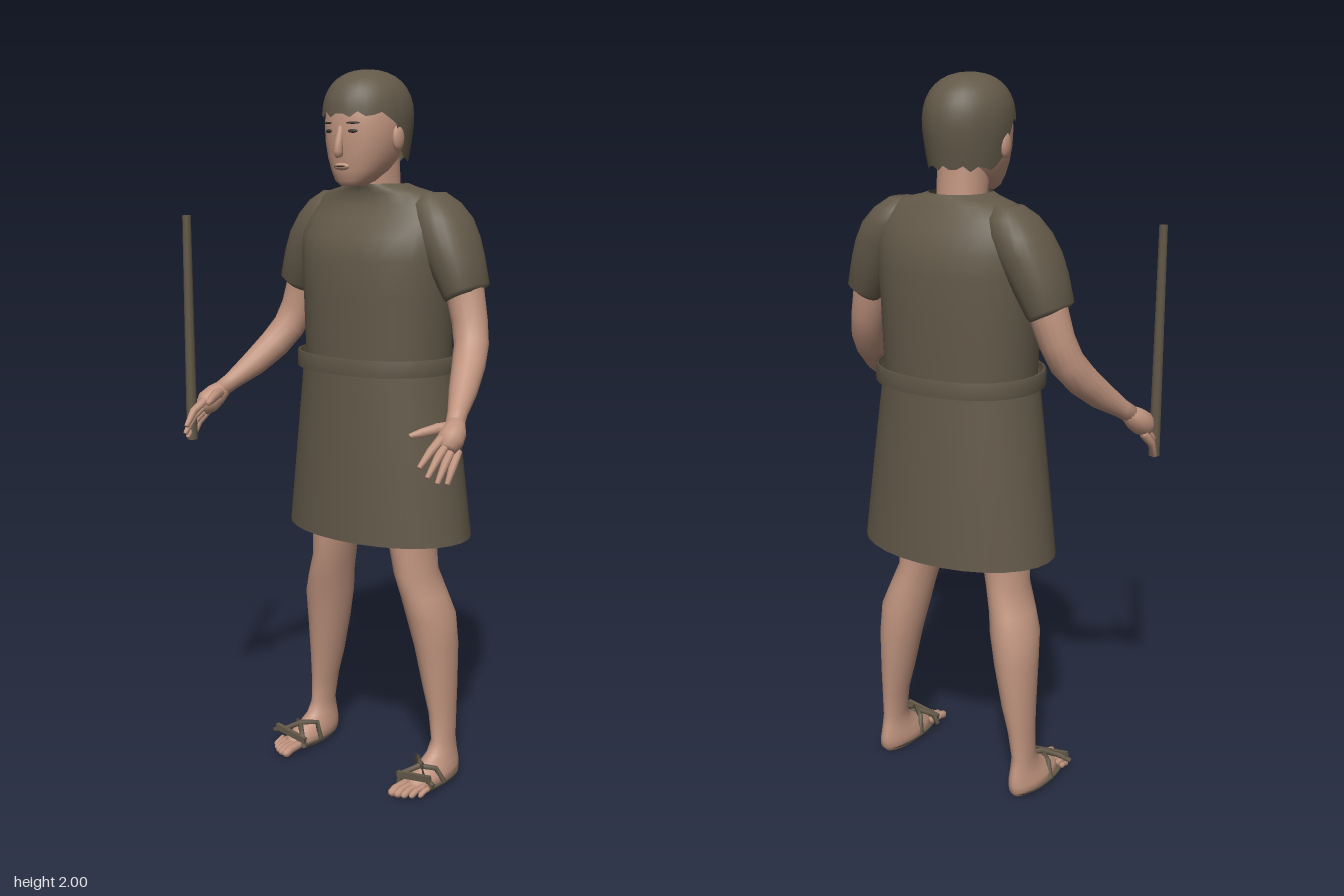
import * as THREE from 'three';

const skin = new THREE.MeshStandardMaterial({ color: 0xc0947f });
skin.name = 'skin';
const cloth = new THREE.MeshStandardMaterial({ color: 0x635949, side: THREE.DoubleSide });
cloth.name = 'brownCloth';
const dark = new THREE.MeshStandardMaterial({ color: 0x3c3630 });
dark.name = 'darkFeatures';

// Skin a list of equal-length point rings, optionally closing either end
function loft(rings, capStart = false, capEnd = false) {
  const n = rings[0].length, pos = [], index = [];
  rings.forEach(r => r.forEach(p => pos.push(p.x, p.y, p.z)));
  for (let i = 0; i < rings.length - 1; i++) {
    for (let j = 0; j < n; j++) {
      const a = i * n + j, b = i * n + (j + 1) % n;
      index.push(a, a + n, b, b, a + n, b + n);
    }
  }
  const cap = (k, flip) => {
    const c = new THREE.Vector3();
    rings[k].forEach(p => c.addScaledVector(p, 1 / n));
    const m = pos.length / 3;
    pos.push(c.x, c.y, c.z);
    for (let j = 0; j < n; j++) {
      const a = k * n + j, b = k * n + (j + 1) % n;
      if (flip) index.push(m, a, b); else index.push(m, b, a);
    }
  };
  if (capStart) cap(0, true);
  if (capEnd) cap(rings.length - 1, false);
  const g = new THREE.BufferGeometry();
  g.setAttribute('position', new THREE.Float32BufferAttribute(pos, 3));
  g.setIndex(index);
  g.computeVertexNormals();
  return g;
}

// Level oval section: height, centre x, half width, front z, back z, sideways tilt
function oval([y, cx, rx, zf, zb, tilt = 0], s = 1, power = 2.2, n = 28) {
  const pw = v => Math.sign(v) * Math.pow(Math.abs(v), 2 / power);
  return Array.from({ length: n }, (_, j) => {
    const a = j / n * Math.PI * 2, c = pw(Math.cos(a)), d = pw(Math.sin(a));
    return new THREE.Vector3(s * cx + rx * c, y + s * tilt * c, (zf + zb) / 2 + (zf - zb) / 2 * d);
  });
}
const ovals = (rows, s, power) => rows.map(r => oval(r, s, power));

// Round tapered limb through points [x, y, z, radius]
function limb(points, s = 1, n = 12) {
  const P = points.map(p => new THREE.Vector3(p[0] * s, p[1], p[2]));
  const rings = P.map((p, i) => {
    const d = P[Math.min(i + 1, P.length - 1)].clone().sub(P[Math.max(i - 1, 0)]).normalize();
    const ref = Math.abs(d.x) > 0.8 ? new THREE.Vector3(0, 0, 1) : new THREE.Vector3(1, 0, 0);
    const u = ref.addScaledVector(d, -ref.dot(d)).normalize();
    const w = u.clone().cross(d);
    return Array.from({ length: n }, (_, j) => {
      const a = j / n * Math.PI * 2, r = points[i][3];
      return p.clone().addScaledVector(u, r * Math.cos(a)).addScaledVector(w, r * Math.sin(a));
    });
  });
  return loft(rings, true, true);
}

export function createModel() {
  const model = new THREE.Group();
  const add = (name, geometry, material, parent = model) => {
    const m = new THREE.Mesh(geometry, material);
    m.name = name;
    parent.add(m);
    return m;
  };
  const blob = (name, material, p, size, parent = model) => {
    const m = add(name, new THREE.SphereGeometry(1, 14, 10), material, parent);
    m.position.set(...p);
    m.scale.set(...size);
    return m;
  };

  // Tunic, open at the collar, with a separate flared skirt and loose belt
  add('tunicTop', loft(ovals([
    [1.15, 0, 0.215, 0.08, -0.24], [1.25, 0, 0.222, 0.08, -0.245], [1.4, 0, 0.228, 0.083, -0.248],
    [1.5, 0, 0.238, 0.08, -0.247], [1.56, 0, 0.24, 0.065, -0.24], [1.61, 0, 0.235, 0.025, -0.22],
    [1.645, 0, 0.215, 0.003, -0.2], [1.675, 0, 0.175, 0.0, -0.185], [1.69, 0, 0.11, 0.006, -0.175],
    [1.7, 0, 0.08, 0.01, -0.165]])), cloth);
  add('skirt', loft(ovals([
    [0.72, 0, 0.292, 0.106, -0.285], [0.95, 0, 0.26, 0.106, -0.277], [1.2, 0, 0.226, 0.1, -0.262]], 1, 2.05)), cloth);
  const belt = [[1.19, 0.234, 0.102, -0.268], [1.19, 0.241, 0.108, -0.274],
    [1.235, 0.241, 0.108, -0.274], [1.235, 0.234, 0.102, -0.268]];
  add('belt', loft(ovals(belt.map(([y, rx, f, b]) => [y, 0, rx, f, b]))), cloth);

  // Neck and head
  add('neck', loft(ovals([
    [1.62, 0, 0.075, 0.0, -0.15], [1.69, 0, 0.064, -0.005, -0.14], [1.78, 0, 0.066, 0.02, -0.135]])), skin);
  const head = new THREE.Group();
  head.name = 'head';
  model.add(head);
  add('face', loft(ovals([
    [1.695, 0, 0.032, 0.06, 0.0], [1.708, 0, 0.052, 0.072, -0.035], [1.735, 0, 0.073, 0.077, -0.08],
    [1.77, 0, 0.09, 0.082, -0.115], [1.81, 0, 0.101, 0.085, -0.135], [1.86, 0, 0.106, 0.087, -0.15],
    [1.92, 0, 0.098, 0.078, -0.14], [1.965, 0, 0.065, 0.04, -0.1]]), true, true), skin, head);
  add('nose', limb([[0, 1.85, 0.08, 0.008], [0, 1.81, 0.09, 0.011], [0, 1.785, 0.093, 0.014], [0, 1.772, 0.088, 0.01]]), skin, head);
  blob('lips', skin, [0, 1.746, 0.077], [0.026, 0.01, 0.01], head);
  blob('mouthLine', dark, [0, 1.747, 0.085], [0.02, 0.002, 0.004], head);

  // Hair cap: high fringe, sideburns and a longer back
  const hairRings = [];
  for (let i = 0; i <= 12; i++) {
    const ring = [];
    for (let j = 0; j < 36; j++) {
      const a = j / 36 * Math.PI * 2, f = Math.sin(a);
      const hem = 1.765 + 0.115 * THREE.MathUtils.smoothstep(f, -0.2, 0.35) + 0.008 * Math.sin(j * 2.4);
      const t = Math.sin(i / 12 * Math.PI / 2), y = hem + (2 - hem) * t;
      const r = y > 1.87 ? Math.pow(Math.max(0, 1 - Math.pow((y - 1.87) / 0.13, 2.4)), 1 / 2.3)
        : 1 - 2.2 * Math.pow(Math.max(0, 1.87 - y), 1.3);
      ring.push(new THREE.Vector3(0.116 * r * Math.cos(a), y, -0.037 + 0.138 * r * f));
    }
    hairRings.push(ring);
  }
  add('hair', loft(hairRings, false, true), cloth, head);

  for (const s of [-1, 1]) {
    const side = s > 0 ? 'left' : 'right';

    // Ear, eye and brow
    blob(side + 'Ear', skin, [s * 0.107, 1.82, -0.03], [0.012, 0.034, 0.022], head);
    const eye = blob(side + 'Eye', dark, [s * 0.041, 1.838, 0.081], [0.014, 0.005, 0.004], head);
    const brow = blob(side + 'Brow', dark, [s * 0.043, 1.859, 0.083], [0.02, 0.003, 0.004], head);
    eye.rotation.y = brow.rotation.y = s * 0.3;

    // Short sleeve over the shoulder
    add(side + 'Sleeve', loft(ovals([
      [1.405, 0.285, 0.042, -0.035, -0.155, 0.02], [1.42, 0.288, 0.053, -0.02, -0.172, 0.022],
      [1.5, 0.252, 0.07, -0.01, -0.185, 0.012], [1.56, 0.222, 0.082, -0.005, -0.195],
      [1.61, 0.2, 0.077, -0.015, -0.195], [1.65, 0.18, 0.06, -0.03, -0.18],
      [1.677, 0.165, 0.035, -0.06, -0.15]], s), false, true), cloth);

    // Arm, bent forward at the elbow
    const arm = new THREE.Group();
    arm.name = side + 'Arm';
    model.add(arm);
    add('armLimb', limb([
      [0.26, 1.5, -0.1, 0.055], [0.284, 1.41, -0.098, 0.053], [0.305, 1.34, -0.09, 0.049],
      [0.325, 1.28, -0.07, 0.047], [0.345, 1.23, -0.028, 0.045], [0.372, 1.175, 0.035, 0.038],
      [0.4, 1.128, 0.1, 0.026], [0.413, 1.108, 0.128, 0.025]], s, 16), skin, arm);
    add('palm', limb([
      [0.41, 1.113, 0.118, 0.023], [0.421, 1.092, 0.145, 0.033],
      [0.428, 1.073, 0.172, 0.035], [0.433, 1.055, 0.192, 0.024]], s), skin, arm);
    const tips = [[0.41, 1.02, 0.276], [0.427, 0.995, 0.265], [0.441, 0.978, 0.242], [0.45, 0.972, 0.212]];
    tips.forEach(([x, y, z], i) => {
      const base = [0.418 + i * 0.008, 1.082 - i * 0.012, 0.196 - i * 0.013];
      const mid = [(x + base[0]) / 2 + 0.004, (y + base[1]) / 2 + 0.006, (z + base[2]) / 2 + 0.004];
      add('finger' + (i + 1), limb([[...base, 0.012], [...mid, 0.011], [x, y, z, 0.007]], s, 8), skin, arm);
    });
    add('thumb', limb([
      [0.412, 1.1, 0.135, 0.018], [0.39, 1.1, 0.175, 0.015],
      [0.37, 1.093, 0.215, 0.012], [0.354, 1.087, 0.242, 0.007]], s, 8), skin, arm);

    // Leg running down into the foot
    const leg = new THREE.Group();
    leg.name = side + 'Leg';
    model.add(leg);
    add('legAndFoot', loft(ovals([
      [0.004, 0.228, 0.036, 0.055, -0.15], [0.02, 0.23, 0.047, 0.068, -0.163], [0.04, 0.229, 0.045, 0.05, -0.165],
      [0.06, 0.228, 0.038, 0.01, -0.163], [0.085, 0.228, 0.032, -0.035, -0.157], [0.12, 0.228, 0.029, -0.058, -0.15],
      [0.2, 0.222, 0.034, -0.055, -0.158], [0.28, 0.212, 0.045, -0.045, -0.167], [0.4, 0.2, 0.058, -0.028, -0.176],
      [0.49, 0.188, 0.066, -0.01, -0.173], [0.55, 0.172, 0.06, 0.0, -0.16], [0.62, 0.15, 0.054, 0.01, -0.148],
      [0.72, 0.138, 0.063, 0.016, -0.146], [0.92, 0.115, 0.075, 0.02, -0.17]], s, 2), true, true), skin, leg);
    for (let i = 0; i < 5; i++) {
      const x = 0.2 + i * 0.018, r = 0.0125 - i * 0.0012, z = 0.113 - i * i * 0.0025;
      add('toe' + (i + 1), limb([
        [x + 0.003, 0.024, 0.035, r], [x, 0.022, z - 0.025, r], [x, 0.016, z - 0.006, r], [x, 0.013, z, r * 0.5]], s, 8), skin, leg);
    }

    // Sandal: thin sole and crossed straps
    add('sandalSole', loft(ovals([
      [0.014, 0.231, 0.05, 0.085, -0.155], [0.022, 0.231, 0.05, 0.085, -0.155]], s), true, true), cloth, leg);
    add('strapInner', limb([
      [0.178, 0.02, 0.045, 0.008], [0.19, 0.05, 0.04, 0.008], [0.225, 0.07, 0.01, 0.008],
      [0.262, 0.062, -0.02, 0.008], [0.28, 0.02, -0.035, 0.008]], s, 6), cloth, leg);
    add('strapOuter', limb([
      [0.182, 0.02, -0.035, 0.008], [0.19, 0.075, -0.028, 0.008], [0.228, 0.075, 0.005, 0.008],
      [0.265, 0.055, 0.04, 0.008], [0.3, 0.045, 0.045, 0.007]], s, 6), cloth, leg);
    const band = add('strapBand', new THREE.BoxGeometry(0.115, 0.018, 0.012), cloth, leg);
    band.position.set(s * 0.232, 0.052, 0.045);
    band.rotation.z = s * 0.15;
  }

  // Hollow rod at the right hand
  const rod = add('rod', new THREE.CylinderGeometry(0.012, 0.016, 0.64, 8, 1, true), cloth);
  rod.position.set(-0.444, 1.29, 0.222);
  return model;
}
